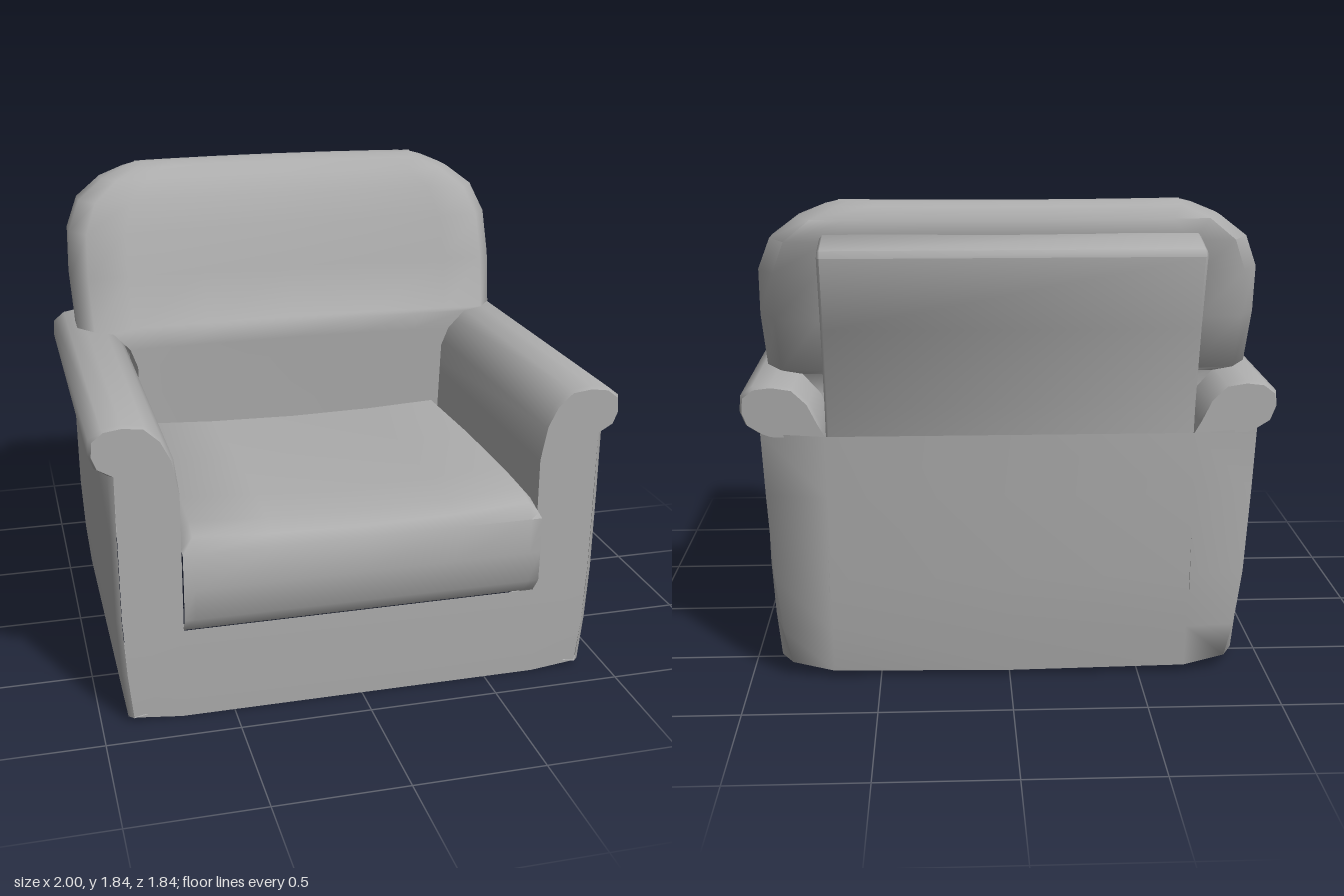
import * as THREE from 'three';
import { toCreasedNormals } from 'three/addons/utils/BufferGeometryUtils.js';

const material = new THREE.MeshStandardMaterial({ color: 0xacacac, side: THREE.DoubleSide });

function part(name, geometry, crease = 0.8) {
  const mesh = new THREE.Mesh(toCreasedNormals(geometry, crease), material);
  mesh.name = name;
  return mesh;
}

// Skin a list of equal-length cross-sections ([x, y, z] points)
function loft(sections, closed = false) {
  const n = sections[0].length, index = [];
  for (let i = 0; i < sections.length - 1; i++) {
    for (let j = 0; j < (closed ? n : n - 1); j++) {
      const a = i * n + j, b = i * n + (j + 1) % n, c = a + n, d = b + n;
      index.push(a, b, d, a, d, c);
    }
  }
  const g = new THREE.BufferGeometry();
  g.setAttribute('position', new THREE.Float32BufferAttribute(sections.flat(2), 3));
  g.setIndex(index);
  g.computeVertexNormals();
  return g;
}

// Flat outline on one side of the chair, facing front (+1) or back (-1)
function endPanel(name, outline, side, facing, zAt) {
  const g = new THREE.ShapeGeometry(new THREE.Shape(outline.map(p => new THREE.Vector2(p[0], p[1]))));
  const p = g.attributes.position, idx = g.index.array;
  for (let i = 0; i < p.count; i++) p.setXYZ(i, side * p.getX(i), p.getY(i), zAt(p.getX(i)));
  if (side * facing < 0) {
    for (let i = 0; i < idx.length; i += 3) [idx[i], idx[i + 1]] = [idx[i + 1], idx[i]];
  }
  g.computeVertexNormals();
  return part(name, g);
}

// Arm outline from under the roll, over the top and down to the seat
const armProfile = [[0.935, 0.99], [0.98, 1.02], [1, 1.07], [0.995, 1.13], [0.95, 1.165], [0.88, 1.175],
  [0.8, 1.165], [0.74, 1.11], [0.7, 1.03], [0.685, 0.9], [0.685, 0.36]];
const inset = armProfile.map(([x, y], i) => i > 0 && i < 9
  ? [0.85 + (x - 0.85) * 0.93, 1.05 + (y - 1.05) * 0.93] : [x - (i ? 0 : 0.02), y]);
const backZ = x => -0.71 - 0.12 * (1 - x);

function arm(side) {
  const group = new THREE.Group();
  group.name = side > 0 ? 'leftArm' : 'rightArm';
  const sections = [[inset, () => 0.875], [armProfile, () => 0.855], [armProfile, x => backZ(x) + 0.025], [inset, backZ]]
    .map(([profile, z]) => profile.map(([x, y]) => [side * x, y, z(x)]));
  if (side < 0) sections.reverse();
  group.add(part('armRoll', loft(sections), 1));
  group.add(endPanel('armFront', [[0.905, 0.36], [0.909, 0.42], ...inset], side, 1, () => 0.875));
  group.add(endPanel('armBack', [...inset.slice(0, 9), [0.68, 0.98], [0.885, 0.98]], side, -1, backZ));
  return group;
}

// Upholstered wall running along one side, round the back and along the other
function outerSkirt() {
  // height, half width, tuck of the rear corner, back z
  const rows = [[0.03, 0.85, 0.05, -0.66], [0.02, 0.9, 0.06, -0.705], [0.2, 0.918, 0.05, -0.725],
    [0.42, 0.93, 0.035, -0.742], [0.75, 0.934, 0.02, -0.755], [0.99, 0.935, 0.01, -0.765]];
  const sections = rows.map(([y, w, tuck, zb], i) => {
    const lift = i < 2 ? 0.04 : 0;
    const half = [[w - 0.02, y, 0.875], [w, y, 0.855], [w, y, 0.2], [w, y, -0.52],
      [w - tuck, y + lift, Math.max(-0.71, zb + 0.02)], [0.68, y + lift / 4, zb]];
    return [...half, [0, y, zb], ...half.map(([x, py, z]) => [-x, py, z]).reverse()];
  });
  return part('outerSkirt', loft(sections.reverse()), 1.45);
}

// Rail under the seat with a turned-in hem
function frontRail() {
  const rows = [[0.36, 0.36, 0.905, 0.875], [0.2, 0.2, 0.898, 0.875], [0, 0.02, 0.88, 0.87], [0.005, 0.025, 0.87, 0.83]];
  const sections = rows.map(([y, yEnd, w, z]) =>
    [[-w, yEnd, z], [-0.7, y, z], [0, y, z], [0.7, y, z], [w, yEnd, z]]);
  return part('frontRail', loft(sections.reverse()), 1.5);
}

// Leaning slab behind the back cushion, rising out of the skirt
function backFrame() {
  const zy = [[-0.72, 0.7], [-0.755, 0.96], [-0.772, 1.1], [-0.84, 1.4], [-0.92, 1.67],
    [-0.905, 1.695], [-0.75, 1.73], [-0.735, 1.72], [-0.6, 1.2], [-0.6, 0.7]];
  const shape = new THREE.Shape(zy.map(([z, y]) => new THREE.Vector2(-z, y)));
  const g = new THREE.ExtrudeGeometry(shape, {
    depth: 1.34, bevelEnabled: true, bevelSize: 0.012, bevelThickness: 0.01, bevelOffset: -0.012, bevelSegments: 1,
  });
  g.translate(0, 0, -0.67);
  g.rotateY(Math.PI / 2);
  return part('backFrame', g, 0.9);
}

// Open sheet: crowned top rolling over the front, hollow underneath
function seatCushion() {
  const zy = [[-0.7, 0.74], [-0.28, 0.76], [0.2, 0.775], [0.6, 0.775], [0.8, 0.765], [0.885, 0.74],
    [0.918, 0.68], [0.92, 0.54], [0.915, 0.42], [0.87, 0.36]];
  const xs = [-0.687, -0.645, -0.35, 0, 0.35, 0.645, 0.687];
  const sections = zy.map(([z, y], i) => xs.map(x => {
    const edge = Math.abs(x) > 0.68 && i < 6 ? 0.05 : 0;
    const sag = i < 6 ? 0.03 * (1 - (x / 0.687) ** 2) : 0;
    return [x, y - edge - sag, z];
  }));
  return part('seatCushion', loft(sections.reverse()), 1.2);
}

// T-shaped cushion, curved around the sitter, as a stack of sections
function backCushion() {
  // height, half width, front z, back z
  const rows = [[0.7, 0.685, -0.27, -0.55], [1.02, 0.69, -0.255, -0.55], [1.1, 0.72, -0.25, -0.55],
    [1.175, 0.79, -0.245, -0.54], [1.19, 0.92, -0.24, -0.54], [1.4, 0.932, -0.3, -0.61],
    [1.58, 0.925, -0.355, -0.67], [1.7, 0.875, -0.405, -0.71], [1.78, 0.77, -0.46, -0.725],
    [1.822, 0.67, -0.52, -0.67], [1.836, 0.62, -0.57, -0.635]];
  const sections = rows.map(([y, w, zf, zb], i) => {
    const lower = i < 4;
    const edge = lower ? 0.985 : 0.93, bend = lower ? 0.02 : 0.045;
    const us = [-edge, -0.75, -0.4, 0, 0.4, 0.75, edge];
    const point = (u, t) => [u * w, y, THREE.MathUtils.lerp(zf, zb, t) - bend * (1 - u * u)];
    return [
      ...us.map(u => point(u, 0)), point(1, 0.3), point(1, 0.65),
      ...us.map(u => point(-u, 1)), point(-1, 0.65), point(-1, 0.3),
    ];
  });
  // Close the top along its centre line
  const top = sections[sections.length - 1];
  sections.push(top.map(([x]) => [x, 1.84, -0.605 - 0.045 * (1 - (x / 0.62) ** 2)]));
  return part('backCushion', loft(sections, true), 1.2);
}

export function createModel() {
  const chair = new THREE.Group();
  chair.name = 'armchair';
  chair.add(arm(1), arm(-1), outerSkirt(), frontRail(), backFrame(), seatCushion(), backCushion());
  return chair;
}
